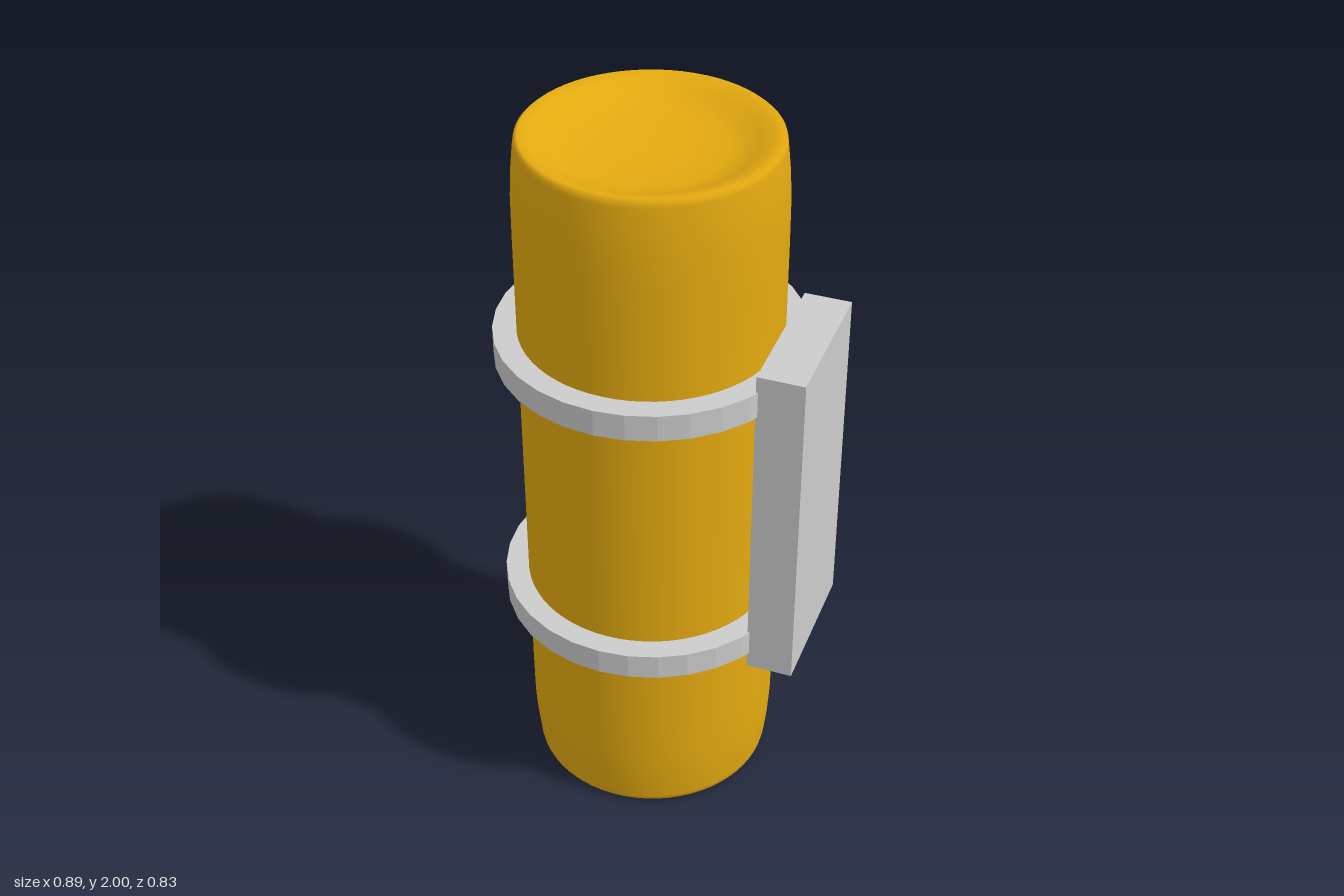
import * as THREE from 'three';

const AXIS_X = -0.035; // the canister sits slightly off centre to make room for the mount

const grey = new THREE.MeshStandardMaterial({ color: 0xcccccc });
const greyFlat = new THREE.MeshStandardMaterial({ color: 0xcccccc, flatShading: true });
const amber = new THREE.MeshStandardMaterial({ color: 0xe4aa10 });

// Canister: tapered ends, rounded rims and a shallow dish in both ends
function makeCanister() {
  // lower half as [radius, height]; the upper half mirrors it
  const half = [
    [0, 0.055], [0.12, 0.052], [0.2, 0.045], [0.24, 0.035], [0.27, 0.018],
    [0.3, 0.007], [0.325, 0], [0.334, 0.008], [0.337, 0.022],
    [0.344, 0.09], [0.349, 0.17], [0.35, 0.3],
  ];
  const profile = [
    ...half,
    ...half.map(([r, y]) => [r, 2 - y]).reverse(),
  ].map(([r, y]) => new THREE.Vector2(r, y));
  const mesh = new THREE.Mesh(new THREE.LatheGeometry(profile, 64), amber);
  mesh.name = 'canister';
  mesh.position.x = AXIS_X;
  return mesh;
}

// Strap: faceted flat band with a square section
function makeStrap(name, y) {
  const inner = 0.347, outer = 0.413, h = 0.0375;
  const section = [[inner, -h], [outer, -h], [outer, h], [inner, h], [inner, -h]]
    .map(([r, v]) => new THREE.Vector2(r, v));
  const mesh = new THREE.Mesh(new THREE.LatheGeometry(section, 32), greyFlat);
  mesh.name = name;
  mesh.rotation.y = Math.PI / 2;
  mesh.position.set(AXIS_X, y, 0);
  return mesh;
}

export function createModel() {
  const model = new THREE.Group();
  model.name = 'strappedCanister';

  model.add(makeCanister());
  model.add(makeStrap('lowerStrap', 0.603), makeStrap('upperStrap', 1.403));

  // Mounting block on the model's left side
  const block = new THREE.Mesh(new THREE.BoxGeometry(0.128, 0.97, 0.406), grey);
  block.name = 'mountingBlock';
  block.position.set(0.381, 1.003, 0);
  model.add(block);

  return model;
}
